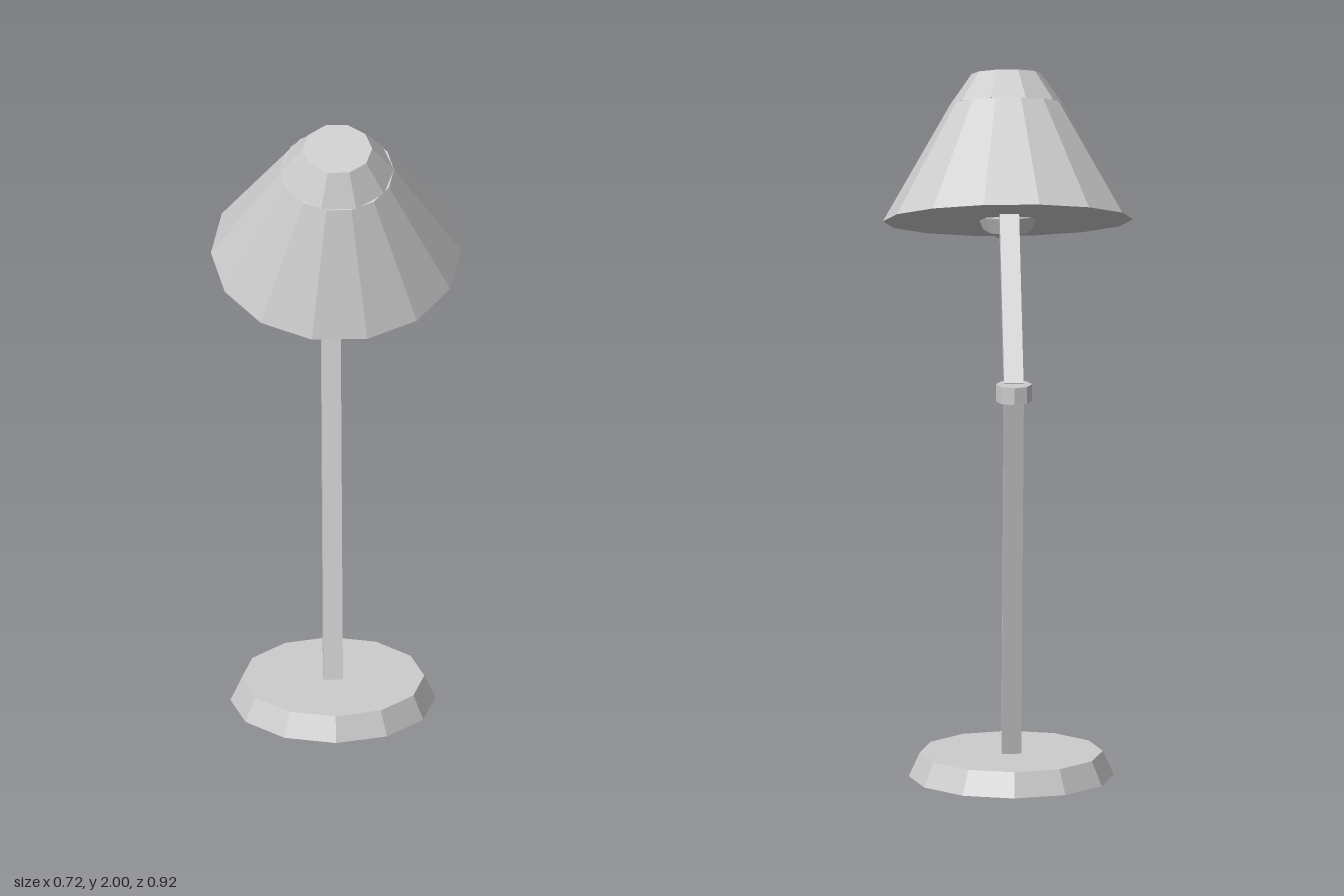
import * as THREE from 'three';

export function createModel() {
  const lamp = new THREE.Group();
  lamp.name = 'deskLamp';
  const grey = new THREE.MeshStandardMaterial({ color: 0xcccccc });
  grey.name = 'lightGrey';

  function add(parent, name, geometry, x = 0, y = 0, z = 0) {
    // Separate the corners so that every facet is shaded flat
    const flat = geometry.index ? geometry.toNonIndexed() : geometry;
    flat.computeVertexNormals();
    const mesh = new THREE.Mesh(flat, grey);
    mesh.name = name;
    mesh.position.set(x, y, z);
    parent.add(mesh);
    return mesh;
  }

  // Square bar between two points of the x = 0 plane, given as [y, z]
  function bar(name, [y0, z0], [y1, z1], width) {
    const length = Math.hypot(y1 - y0, z1 - z0);
    const mesh = add(lamp, name, new THREE.BoxGeometry(width, length, width), 0, (y0 + y1) / 2, (z0 + z1) / 2);
    mesh.rotation.x = Math.atan2(z1 - z0, y1 - y0);
  }

  // Foot, arms and elbow
  add(lamp, 'base', new THREE.CylinderGeometry(0.263, 0.295, 0.07, 12), 0, 0.035, -0.165);
  bar('lowerArm', [0.068, -0.165], [1.19, -0.388], 0.056);
  add(lamp, 'elbowJoint', new THREE.CylinderGeometry(0.052, 0.052, 0.05, 8), 0, 1.184, -0.397);
  bar('upperArm', [1.192, -0.372], [1.625, 0.045], 0.056);

  // Tilted head: closed shade with a narrower cap on top
  const head = new THREE.Group();
  head.name = 'lampHead';
  head.position.set(0, 1.57, 0.13);
  head.rotation.x = 0.357;
  lamp.add(head);
  const cone = (top, bottom, height, sides) =>
    new THREE.CylinderGeometry(top, bottom, height, sides).rotateY(Math.PI / 2);
  add(head, 'shade', cone(0.163, 0.36, 0.336, 14), 0, 0.168, 0);
  add(head, 'shadeCap', cone(0.1, 0.163, 0.089, 10), 0, 0.3805, 0);

  // Bulb hanging through the underside of the shade
  const profile = [[0, 0], [0.03, 0], [0.07, 0.024], [0.092, 0.073], [0.08, 0.13], [0, 0.16]]
    .map(([r, y]) => new THREE.Vector2(r, y));
  add(lamp, 'bulb', new THREE.LatheGeometry(profile, 8), 0, 1.517, 0.137);

  return lamp;
}
